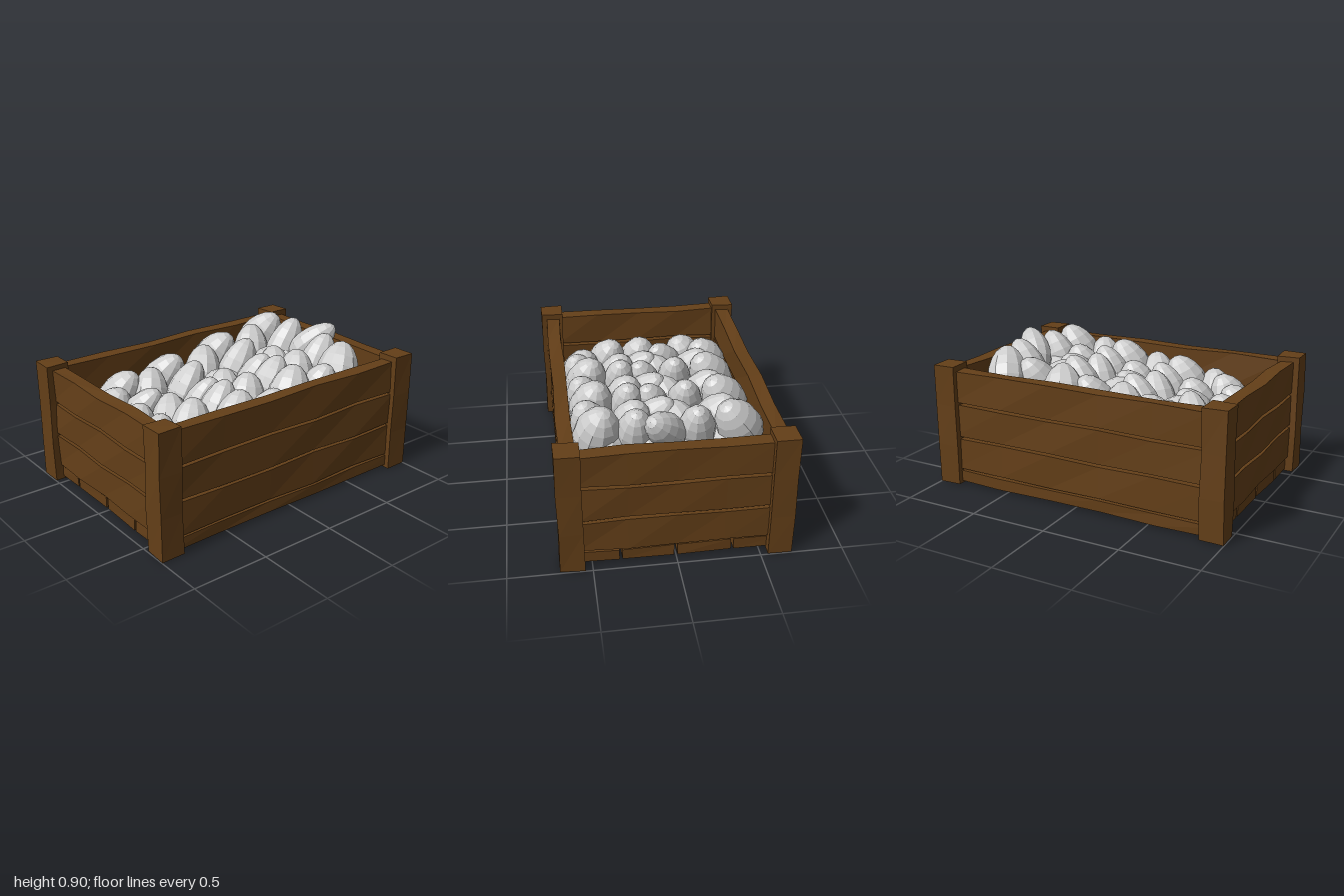
import * as THREE from 'three';

const wood = new THREE.MeshStandardMaterial({ color: 0x643f18, flatShading: true });
const grey = new THREE.MeshStandardMaterial({ color: 0xcccccc, flatShading: true });

// Box with slightly uneven, hand-cut edges; the offset depends only on position, so seams stay closed
function plank(name, size, pos, wobble = 0.005) {
  const seg = size.map((s) => Math.max(1, Math.min(5, Math.round(s / 0.3))));
  const geo = new THREE.BoxGeometry(...size, ...seg);
  geo.translate(...pos);
  const p = geo.attributes.position;
  for (let i = 0; i < p.count; i++) {
    const x = p.getX(i), y = p.getY(i), z = p.getZ(i);
    const n = (k) => wobble * Math.sin(x * 7.1 * k + y * 13.7 + z * 5.3 * k + k);
    p.setXYZ(i, x + n(1.3), y + n(2.1), z + n(1.7));
  }
  geo.computeVertexNormals();
  const mesh = new THREE.Mesh(geo, wood);
  mesh.name = name;
  return mesh;
}

// Faceted egg shape, blunt below and narrower at the tip
const eggGeo = new THREE.SphereGeometry(1, 11, 9);
{
  const p = eggGeo.attributes.position;
  for (let i = 0; i < p.count; i++) {
    const y = p.getY(i), k = 1 - 0.14 * y;
    p.setXYZ(i, p.getX(i) * k, y, p.getZ(i) * k);
  }
  eggGeo.computeVertexNormals();
}

// Egg whose highest point is at height top; leanX and leanZ tilt its tip
function egg(x, z, leanX, leanZ, radius, half, top) {
  const axis = new THREE.Vector3(leanX, 1, leanZ).normalize();
  const rise = Math.hypot(half * axis.y, radius * 0.85 * Math.sqrt(1 - axis.y ** 2));
  const mesh = new THREE.Mesh(eggGeo, grey);
  mesh.name = 'lump';
  mesh.scale.set(radius, half, radius);
  mesh.quaternion.setFromUnitVectors(new THREE.Vector3(0, 1, 0), axis);
  mesh.rotateY(x * 9 + z * 5);
  mesh.position.set(x, top - rise, z);
  return mesh;
}

export function createModel() {
  const model = new THREE.Group();

  // Crate: corner posts, three slats per side, floor boards
  const crate = new THREE.Group();
  crate.name = 'crate';
  for (const sx of [-1, 1]) {
    for (const sz of [-1, 1]) {
      crate.add(plank('cornerPost', [0.145, 0.795, 0.15], [sx * 0.618, 0.4, sz * 0.922], 0.003));
    }
  }
  for (const y of [0.212, 0.437, 0.662]) {
    for (const s of [-1, 1]) {
      crate.add(plank('endSlat', [1.14, 0.205, 0.09], [0, y, s * 0.912]));
      crate.add(plank('sideSlat', [0.088, 0.208, 1.76], [s * 0.613, y - 0.004, 0]));
    }
  }
  for (const x of [-0.5, -0.168, 0.168, 0.5]) {
    crate.add(plank('floorBoard', [0.316, 0.072, 1.88], [x, 0.054, 0], 0.004));
  }
  model.add(crate);

  // Heap sloping down towards the front
  const heap = new THREE.Group();
  heap.name = 'heap';
  const slope = (z) => 0.9 - 0.145 * (z + 0.75);

  // Cluster repeated along the crate: x, z, leanX, leanZ, radius, half length, drop
  const cluster = [
    [-0.41, -0.21, 0.6, -0.4, 0.135, 0.2, 0],
    [-0.16, -0.22, 0.05, -0.55, 0.115, 0.2, 0],
    [0.2, -0.2, 0, -0.5, 0.115, 0.19, 0.01],
    [0.42, -0.17, -0.2, -0.45, 0.14, 0.2, 0],
    [-0.31, -0.04, -0.45, -0.4, 0.125, 0.18, 0.03],
    [0.45, 0.03, 0.3, -0.25, 0.12, 0.17, 0.05],
    [0.05, 0.05, -0.6, -0.4, 0.12, 0.18, 0.06],
    [0.2, 0.0, -0.2, -0.3, 0.13, 0.18, 0.05],
    [-0.08, -0.02, 0.3, 0.5, 0.15, 0.18, 0.1],
  ];
  for (const dz of [-0.42, 0, 0.43]) {
    for (const [x, z, lx, lz, r, h, drop] of cluster) {
      heap.add(egg(x, z + dz, lx, lz, r, h, slope(z + dz) - drop));
    }
  }

  // Single pieces at the back, in the middle rows and along the front
  const extras = [
    [0.04, -0.72, 0.8, -0.9, 0.105, 0.19, 0],
    [0.04, -0.2, 0.3, -0.4, 0.11, 0.18, 0.03],
    [0.04, 0.23, 0.3, -0.4, 0.11, 0.18, 0.03],
    [-0.44, 0.54, 0.5, -0.4, 0.135, 0.19, 0.01],
    [-0.15, 0.56, 0.6, -0.5, 0.11, 0.18, 0.03],
    [-0.31, 0.69, 0.35, -0.3, 0.145, 0.19, 0.03],
    [0.02, 0.72, -0.1, -0.4, 0.135, 0.19, 0.03],
    [0.25, 0.72, -0.3, -0.5, 0.135, 0.2, 0.03],
    [0.44, 0.56, -0.2, -0.3, 0.14, 0.19, 0.05],
  ];
  for (const [x, z, lx, lz, r, h, drop] of extras) {
    heap.add(egg(x, z, lx, lz, r, h, slope(z) - drop));
  }

  // Lower layer filling the gaps
  for (const x of [-0.39, -0.13, 0.13, 0.39]) {
    for (let i = 0; i < 6; i++) {
      const z = -0.62 + i * 0.25;
      heap.add(egg(x, z, 0.4 * Math.sin(i * 2 + x * 9), 0.4 * Math.cos(i * 3), 0.16, 0.18, slope(z) - 0.15));
    }
  }
  model.add(heap);
  return model;
}
